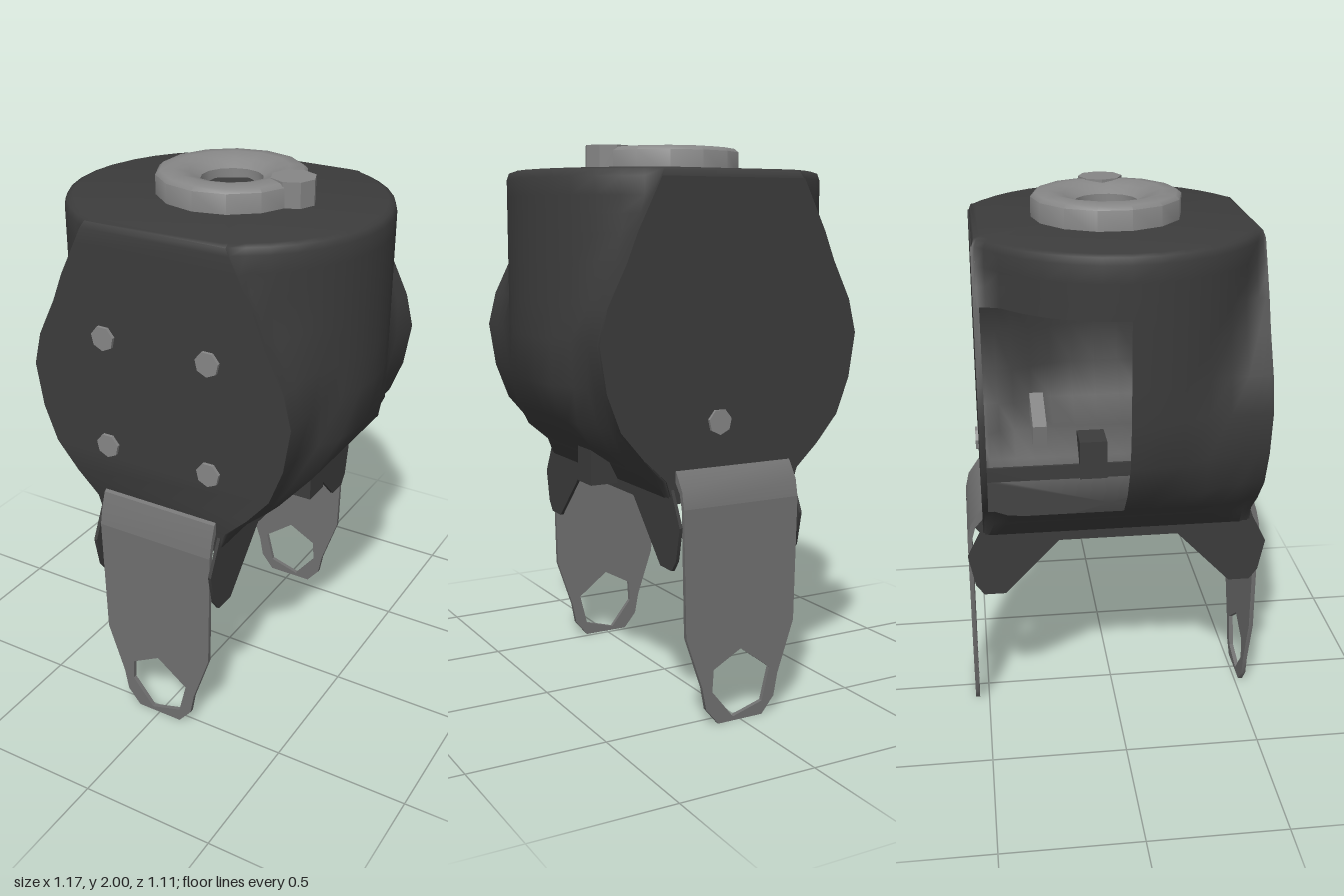
import * as THREE from 'three';
import { toCreasedNormals } from 'three/addons/utils/BufferGeometryUtils.js';

const material = (color) => new THREE.MeshStandardMaterial({ color, side: THREE.DoubleSide });
const dark = material(0x3c3c3c);
const steel = material(0x707070);
const light = material(0x868686);

function add(parent, name, geometry, mat, x = 0, y = 0, z = 0, crease = 0.6) {
  const mesh = new THREE.Mesh(toCreasedNormals(geometry, crease), mat);
  mesh.name = name;
  mesh.position.set(x, y, z);
  parent.add(mesh);
  return mesh;
}

const shapeOf = (points) => new THREE.Shape(points.map(([x, y]) => new THREE.Vector2(x, y)));
const mirrored = (half) => [...half, ...half.map(([x, y]) => [-x, y]).reverse()];

// Extrudes a (z, y) profile along x, centred on x = 0
function extrudeSide(points, width) {
  return new THREE.ExtrudeGeometry(shapeOf(points), { depth: width, bevelEnabled: false })
    .translate(0, 0, -width / 2).rotateY(-Math.PI / 2);
}

// Height, half-width of the front and back plates, inset of the rim
const LEVELS = [[0.79, 0.24, 1], [0.87, 0.265, 1], [0.95, 0.35, 1], [1.05, 0.435, 1], [1.18, 0.485, 1],
  [1.34, 0.51, 1], [1.46, 0.48, 1], [1.6, 0.41, 1], [1.7, 0.37, 1], [1.76, 0.34, 1], [1.82, 0.31, 1],
  [1.88, 0.28, 1], [1.903, 0.27, 0.985], [1.91, 0.25, 0.95]];
const DEPTH = 0.49;

// Housing: an upright oval drum cut flat front and back, merged with a lying drum
function housingGeometry() {
  const steps = 16;
  const rings = LEVELS.map(([y, plate, inset]) => {
    const low = y < 1.4 ? Math.sqrt(Math.max(0, 0.36 - (1.4 - y) ** 2)) : 0.6;
    const ring = [];
    for (const side of [1, -1]) {
      for (let i = 0; i <= steps; i++) {
        const z = -side * DEPTH * Math.sin((i / steps - 0.5) * Math.PI);
        const round = 0.58 * Math.sqrt(1 - (z / 0.545) ** 2);
        const x = Math.max(plate, Math.min(round, low));
        ring.push([side * x * inset, y, z * inset]);
      }
    }
    return ring;
  });
  const out = [];
  const tri = (...corners) => corners.forEach((c) => out.push(...c));
  const n = rings[0].length;
  for (let j = 0; j < rings.length - 1; j++) {
    for (let i = 0; i < n; i++) {
      const k = (i + 1) % n;
      // Side opening in the rear right quarter
      const open = i > steps && i < steps * 1.5 + 1 && LEVELS[j][0] >= 0.95 && LEVELS[j][0] < 1.7;
      if (open) continue;
      tri(rings[j][i], rings[j][k], rings[j + 1][k]);
      tri(rings[j][i], rings[j + 1][k], rings[j + 1][i]);
    }
  }
  const top = rings[rings.length - 1];
  for (let i = 0; i < n; i++) {
    const k = (i + 1) % n;
    tri(top[i], top[k], [0, 1.912, 0]);
    tri(rings[0][k], rings[0][i], [0, 0.79, 0]);
  }
  const geometry = new THREE.BufferGeometry();
  geometry.setAttribute('position', new THREE.Float32BufferAttribute(out, 3));
  return geometry;
}

// Leg: tapered plate with an eye at the foot and a bent upper edge
function makeLeg(name, z) {
  const leg = new THREE.Group();
  leg.name = name;
  const plate = shapeOf(mirrored([[0.09, 0], [0.14, 0.06], [0.155, 0.14], [0.22, 0.33], [0.23, 0.78]]));
  const eye = [[0, 0.26], [-0.11, 0.2], [-0.115, 0.12], [-0.03, 0.015], [0.09, 0.05], [0.12, 0.17]];
  plate.holes.push(new THREE.Path(eye.map(([x, y]) => new THREE.Vector2(x, y))));
  add(leg, 'legPlate', new THREE.ExtrudeGeometry(plate, { depth: 0.016, bevelEnabled: false }), steel, 0, 0, z - 0.008);
  add(leg, 'legBend', extrudeSide([[z - 0.008, 0.78], [z + 0.008, 0.78], [z - 0.005, 0.84],
    [0.5, 0.9], [0.48, 0.915], [0.48, 0.88], [z - 0.022, 0.83]], 0.46), steel);
  return leg;
}

export function createModel() {
  const model = new THREE.Group();
  model.name = 'housingOnLegs';

  add(model, 'housing', housingGeometry(), dark, 0, 0, 0, 1.1);

  // Back plate, left standing beside the opening
  const plate = shapeOf(mirrored(LEVELS.slice(0, -2).map(([y, w]) => [w, y])));
  add(model, 'backPlate', new THREE.ExtrudeGeometry(plate, { depth: 0.02, bevelEnabled: false }), dark, 0, 0, -DEPTH - 0.005);

  // Top ring with a recessed socket
  const profile = [[0.265, 1.89], [0.265, 1.98], [0.25, 1.993], [0.2, 1.998], [0.15, 1.985], [0.11, 1.96], [0.11, 1.92]];
  const ring = new THREE.LatheGeometry(profile.map(([r, y]) => new THREE.Vector2(r, y)), 14);
  add(model, 'topRing', ring, light, 0, 0, -0.015, 0.9);
  add(model, 'socketFloor', new THREE.CylinderGeometry(0.112, 0.112, 0.01, 6), dark, 0, 1.925, -0.015);
  add(model, 'ringTab', new THREE.CylinderGeometry(0.08, 0.08, 0.1, 8), light, 0.24, 1.95, -0.01);

  // Screw heads
  const screw = new THREE.CylinderGeometry(0.045, 0.045, 0.012, 7).rotateX(Math.PI / 2);
  for (const x of [-0.205, 0.205]) {
    for (const y of [1.095, 1.505]) add(model, 'frontScrew', screw, light, x, y, 0.497);
  }
  add(model, 'backScrew', screw, light, 0.06, 1.06, -0.5);

  // Legs
  model.add(makeLeg('frontLeg', 0.525));
  const backLeg = makeLeg('backLeg', 0.545);
  backLeg.rotation.y = Math.PI;
  model.add(backLeg);

  // Saddle flanges under the housing
  const end = [[0.22, 0.77], [0.42, 0.56], [0.5, 0.56], [0.53, 0.6], [0.555, 0.72], [0.49, 0.85]];
  const flange = extrudeSide(mirrored(end), 0.012);
  for (const x of [-0.242, 0.242]) add(model, 'saddleFlange', flange, dark, x);

  // Small rib and the tab inside the opening
  add(model, 'sideRib', new THREE.BoxGeometry(0.13, 0.16, 0.11), dark, 0.29, 0.87, -0.04);
  const tab = add(model, 'sideTab', new THREE.BoxGeometry(0.18, 0.08, 0.045), light, -0.49, 1.35, -0.3);
  tab.rotation.z = 0.3;

  return model;
}
